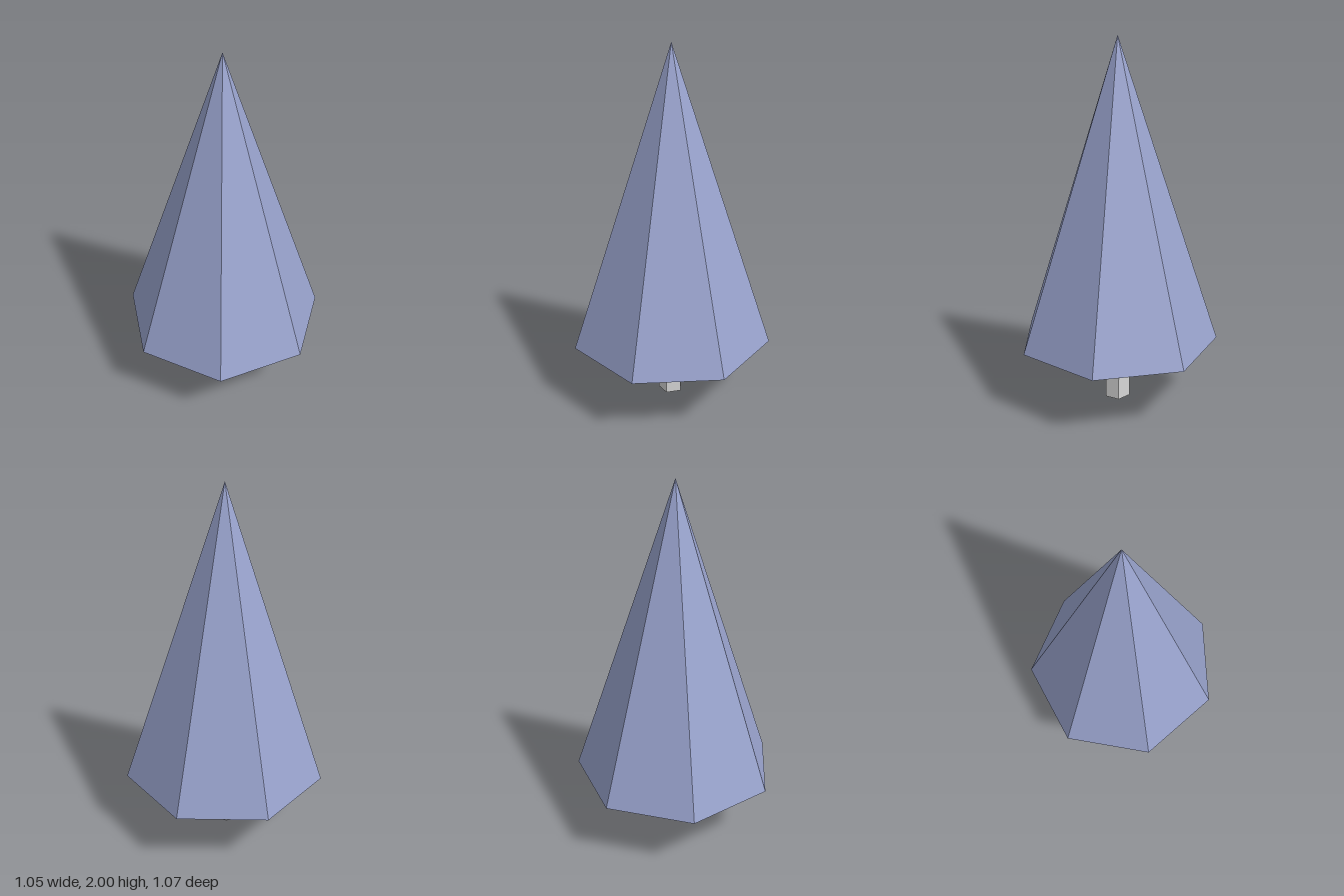
import * as THREE from 'three';

export function createModel() {
  const group = new THREE.Group();
  const needles = new THREE.MeshStandardMaterial({ color: 0x99a3cd });
  needles.name = 'blue needles';
  const bark = new THREE.MeshStandardMaterial({ color: 0xd6d6d6 });
  bark.name = 'pale bark';

  // Faceted prism or cone standing on y0, with one corner pointing to +x
  function addFaceted(name, rTop, rBottom, y0, y1, sides, material) {
    const geometry = new THREE.CylinderGeometry(
      rTop, rBottom, y1 - y0, sides, 1, false, Math.PI / 2
    ).toNonIndexed();
    geometry.computeVertexNormals();
    const mesh = new THREE.Mesh(geometry, material);
    mesh.name = name;
    mesh.position.set(-0.027, (y0 + y1) / 2, 0);
    group.add(mesh);
  }

  addFaceted('trunk', 0.07, 0.07, 0, 0.35, 5, bark);
  addFaceted('foliage', 0, 0.55, 0.35, 2, 7, needles);

  return group;
}
